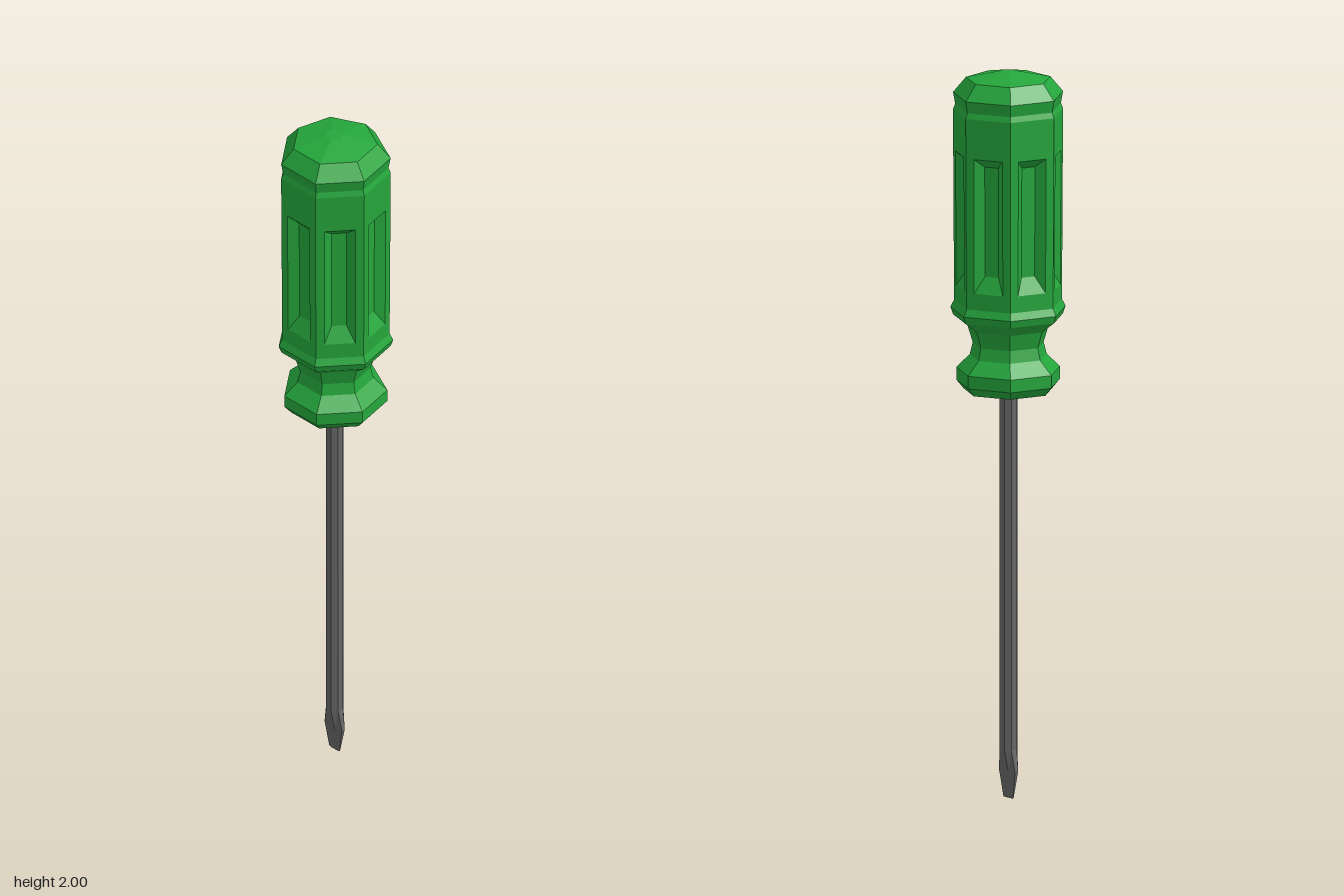
import * as THREE from 'three';

const SIDES = 7;
const AXIS_Z = 0.006; // the heptagon's axis sits slightly forward of centre

export function createModel() {
  const model = new THREE.Group();
  model.name = 'screwdriver';
  const green = new THREE.MeshStandardMaterial({ color: 0x25a63c, flatShading: true });
  const steel = new THREE.MeshStandardMaterial({ color: 0x666666, flatShading: true });

  const add = (name, geometry, material, parent = model) => {
    const mesh = new THREE.Mesh(geometry, material);
    mesh.name = name;
    parent.add(mesh);
    return mesh;
  };
  // Seven-sided turned part with one corner pointing backwards
  const turned = (profile) => new THREE.LatheGeometry(
    profile.map(([r, y]) => new THREE.Vector2(r, y)), SIDES, Math.PI);

  const handle = new THREE.Group();
  handle.name = 'handle';
  model.add(handle);

  // Lower flange, waisted neck and upper flange
  add('collar', turned([
    [0, 1.122], [0.123, 1.122], [0.143, 1.145], [0.143, 1.18], [0.106, 1.217],
    [0.098, 1.25], [0.112, 1.295], [0.152, 1.325], [0.159, 1.345], [0.149, 1.365],
  ]), green, handle);

  // Domed end with a shallow ring below it
  add('endCap', turned([
    [0.152, 1.88], [0.152, 1.89], [0.146, 1.905], [0.152, 1.937],
    [0.1165, 1.98], [0.025, 2], [0, 2],
  ]), green, handle);

  // Grip: one fluted panel per side
  const panel = flutedPanel();
  for (let i = 0; i < SIDES; i++) {
    add('gripPanel' + (i + 1), panel, green, handle).rotation.y = i * 2 * Math.PI / SIDES;
  }

  // Round shaft
  const shaft = new THREE.CylinderGeometry(0.025, 0.025, 1.0, 8);
  shaft.rotateY(Math.PI / 8);
  shaft.translate(0, 0.63, 0);
  add('shaft', shaft, steel);

  // Blade: flares sideways while thinning to a flat edge
  const blade = new THREE.CylinderGeometry(1, 1, 2, 8, 2);
  blade.rotateY(Math.PI / 8);
  const rows = [[0.021, 0.003, 0], [0.036, 0.014, 0.075], [0.025, 0.025, 0.135]];
  const p = blade.attributes.position;
  for (let i = 0; i < p.count; i++) {
    const [w, d, y] = rows[Math.round(p.getY(i)) + 1];
    p.setXYZ(i, p.getX(i) * w, y, p.getZ(i) * d);
  }
  blade.computeVertexNormals();
  add('bladeTip', blade, steel);

  model.children.forEach((part) => { part.position.z = AXIS_Z; });
  return model;
}

// Flat tapered panel facing +z with a sunken flute, made from nested rectangles
function flutedPanel() {
  const y0 = 1.365, y1 = 1.88;
  const radius = (y) => THREE.MathUtils.mapLinear(y, y0, y1, 0.149, 0.152);
  const point = (x, y, depth) => [x, y, radius(y) * Math.cos(Math.PI / SIDES) - depth];
  const rectangle = (w0, w1, bottom, top, depth) => [
    point(-w0, bottom, depth), point(w0, bottom, depth),
    point(w1, top, depth), point(-w1, top, depth),
  ];
  const half = (y) => radius(y) * Math.sin(Math.PI / SIDES);
  const loops = [
    rectangle(half(y0), half(y1), y0, y1, 0),
    rectangle(0.042, 0.042, 1.41, 1.78, 0),
    rectangle(0.02, 0.02, 1.455, 1.757, 0.022),
  ];

  const positions = [];
  const quad = (a, b, c, d) => positions.push(...a, ...b, ...c, ...a, ...c, ...d);
  for (let k = 0; k < 2; k++) {
    for (let i = 0; i < 4; i++) {
      const j = (i + 1) % 4;
      quad(loops[k][i], loops[k][j], loops[k + 1][j], loops[k + 1][i]);
    }
  }
  quad(...loops[2]);

  const geometry = new THREE.BufferGeometry();
  geometry.setAttribute('position', new THREE.Float32BufferAttribute(positions, 3));
  geometry.computeVertexNormals();
  return geometry;
}
